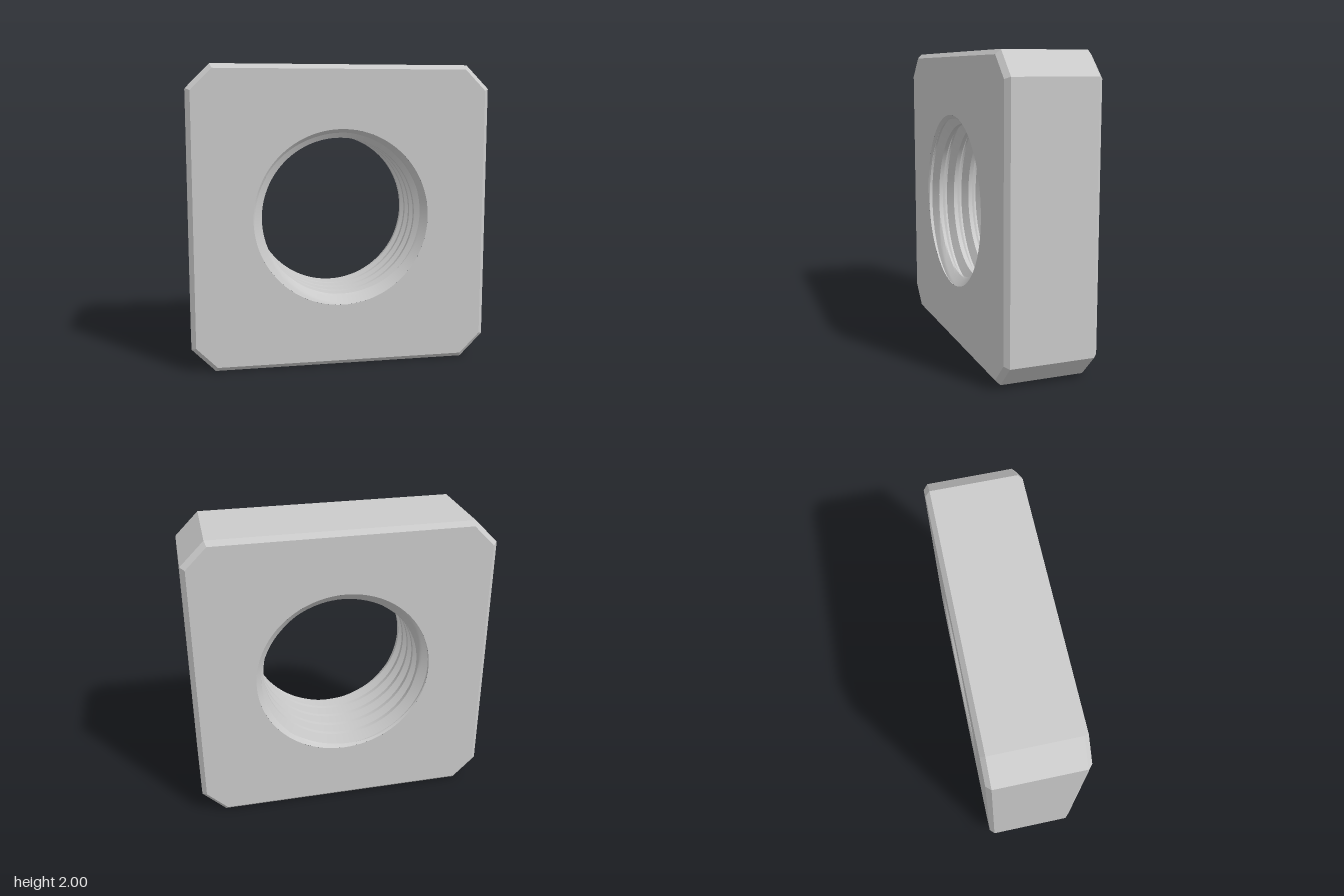
import * as THREE from 'three';
import { toCreasedNormals } from 'three/addons/utils/BufferGeometryUtils.js';

const HALF = 1, CORNER = 0.845;          // half width, start of the corner cut
const T = 0.305, BEVEL = 0.03;           // half thickness, outer edge bevel
const MAJOR = 0.585, MINOR = 0.525;      // thread radii
const PITCH = 0.115, SEG = 96, ROWS = 16; // ROWS = steps across one pitch
const CY = 1;                            // height of the hole axis

// Octagonal outline, counter-clockwise, inset evenly by d
function outline(d) {
  const h = HALF - d, c = CORNER - d * (Math.SQRT2 - 1);
  return [[h, -c], [h, c], [c, h], [-c, h], [-h, c], [-h, -c], [-c, -h], [c, -h]]
    .map(([x, y]) => new THREE.Vector2(x, y));
}

// Flat face with the round hole
function faceGeometry() {
  const shape = new THREE.Shape(outline(BEVEL));
  shape.holes.push(new THREE.Path().absarc(0, 0, MAJOR, 0, Math.PI * 2, true));
  return new THREE.ShapeGeometry(shape, SEG);
}

// Outer walls and bevels lofted through four outlines
function wallGeometry() {
  const rings = [[-T, BEVEL], [-T + BEVEL, 0], [T - BEVEL, 0], [T, BEVEL]];
  const pos = [], index = [];
  for (const [z, d] of rings) for (const p of outline(d)) pos.push(p.x, p.y, z);
  for (let k = 0; k < 3; k++) {
    for (let i = 0; i < 8; i++) {
      const a = k * 8 + i, b = k * 8 + (i + 1) % 8;
      index.push(a, b, b + 8, a, b + 8, a + 8);
    }
  }
  return build(pos, index);
}

function build(pos, index) {
  const g = new THREE.BufferGeometry();
  g.setAttribute('position', new THREE.Float32BufferAttribute(pos, 3));
  g.setIndex(index);
  return toCreasedNormals(g, 0.4);
}

// Right-hand V thread with flat crests and roots, trimmed by 45 degree entry cones
function threadGeometry() {
  const pos = [], index = [];
  const first = -Math.ceil((2 * T / PITCH + 1) * ROWS);
  const count = -first + ROWS + 1;
  for (let i = 0; i <= SEG; i++) {
    const angle = i / SEG * Math.PI * 2;
    const root = T + PITCH * (i / SEG - 250 / 360);
    for (let j = 0; j < count; j++) {
      const z = THREE.MathUtils.clamp(root + (first + j) * PITCH / ROWS, -T, T);
      const u = (z - root) / PITCH;
      const d = Math.abs(u - Math.round(u));
      const f = THREE.MathUtils.clamp((d - 0.0625) / 0.3125, 0, 1);
      const r = Math.max(MAJOR - (MAJOR - MINOR) * f, MAJOR - (T - Math.abs(z)));
      pos.push(r * Math.cos(angle), r * Math.sin(angle), z);
    }
  }
  // Skip triangles that collapsed onto an end face
  const tri = (...v) => {
    const zs = v.map((n) => pos[n * 3 + 2]);
    if (!zs.every((z) => z === T) && !zs.every((z) => z === -T)) index.push(...v);
  };
  for (let i = 0; i < SEG; i++) {
    for (let j = 0; j < count - 1; j++) {
      const a = i * count + j, d = a + count;
      tri(a, a + 1, d + 1);
      tri(a, d + 1, d);
    }
  }
  return build(pos, index);
}

export function createModel() {
  const group = new THREE.Group();
  group.name = 'squareNut';
  const material = new THREE.MeshStandardMaterial({ color: 0xcccccc });
  const add = (name, geometry) => {
    const mesh = new THREE.Mesh(geometry, material);
    mesh.name = name;
    mesh.position.y = CY;
    group.add(mesh);
    return mesh;
  };

  add('outerWalls', wallGeometry());
  add('frontFace', faceGeometry()).position.z = T;
  const back = add('backFace', faceGeometry());
  back.position.z = -T;
  back.rotation.y = Math.PI;
  add('threadedHole', threadGeometry());
  return group;
}
